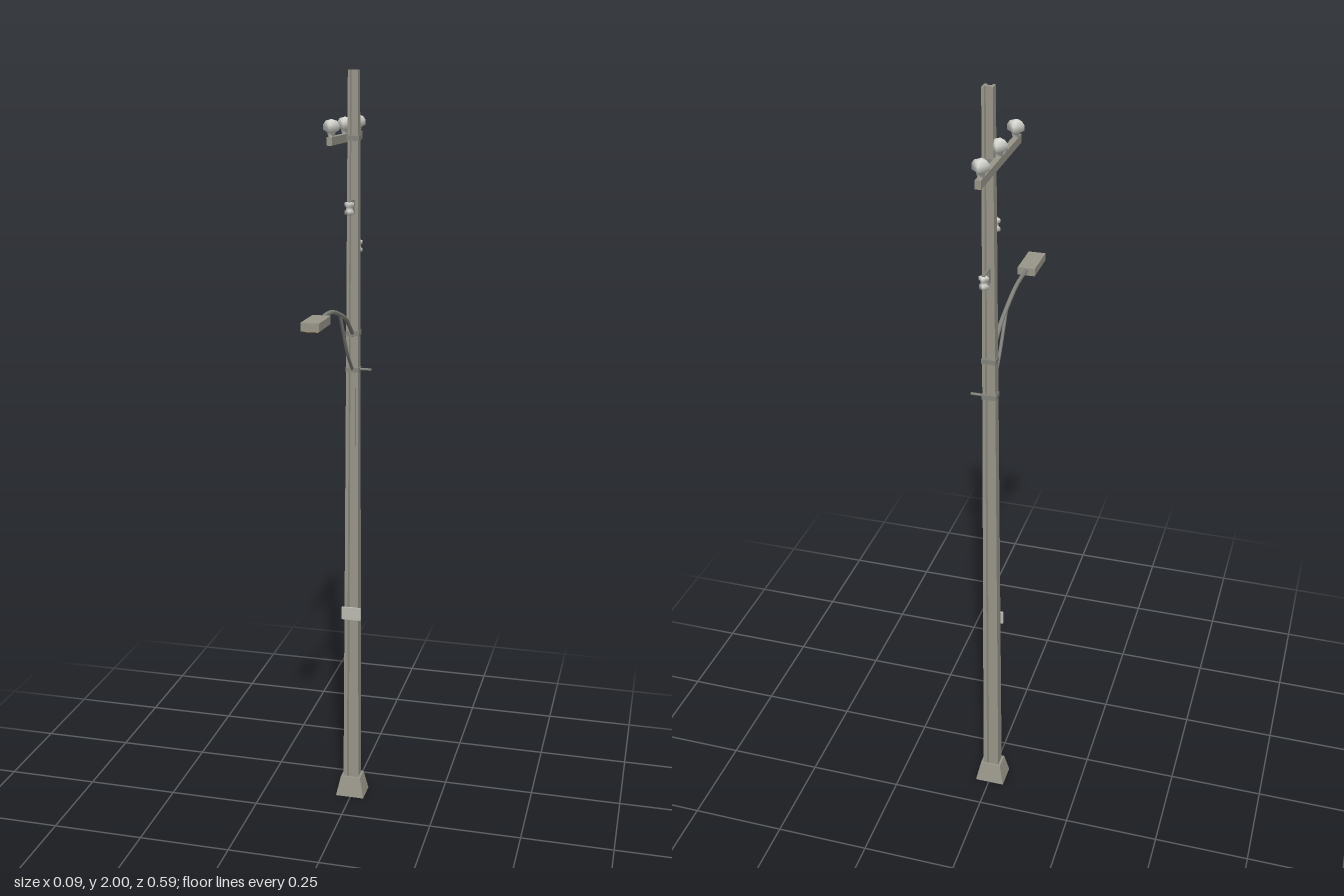
import * as THREE from 'three';

const PX = -0.002, PZ = -0.133; // pole axis

const mat = (name, color, side = THREE.FrontSide) => {
  const m = new THREE.MeshStandardMaterial({ color, side });
  m.name = name;
  return m;
};

export function createModel() {
  const root = new THREE.Group();
  root.name = 'utilityPole';
  const concrete = mat('concrete', 0x99968a);
  const steel = mat('steel', 0x85857f);
  const porcelain = mat('porcelain', 0xd6d6d0, THREE.DoubleSide);
  const plateGrey = mat('plateGrey', 0xbdbbb2);
  const lens = mat('amberLens', 0xb58a45);

  const add = (name, geo, material, x = 0, y = 0, z = 0, parent = root) => {
    const m = new THREE.Mesh(geo, material);
    m.name = name;
    m.position.set(x, y, z);
    parent.add(m);
    return m;
  };
  const box = (name, w, h, d, material, x, y, z, parent) =>
    add(name, new THREE.BoxGeometry(w, h, d), material, x, y, z, parent);
  const outline = (pts) => new THREE.Shape(pts.map(([x, y]) => new THREE.Vector2(x, y)));

  // Unit cross-section raised to height h, tapering from [w, d] to [w, d]
  const tapered = (shape, h, bottom, top) => {
    const g = new THREE.ExtrudeGeometry(shape, { depth: h, bevelEnabled: false });
    g.rotateX(-Math.PI / 2);
    const p = g.attributes.position;
    for (let i = 0; i < p.count; i++) {
      const t = p.getY(i) / h;
      p.setX(i, p.getX(i) * THREE.MathUtils.lerp(bottom[0], top[0], t));
      p.setZ(i, p.getZ(i) * THREE.MathUtils.lerp(bottom[1], top[1], t));
    }
    g.computeVertexNormals();
    return g;
  };

  // H-section pole with grooves in the front and back
  const hShape = outline([
    [-0.5, -0.5], [-0.27, -0.5], [-0.2, -0.18], [0.2, -0.18], [0.27, -0.5], [0.5, -0.5],
    [0.5, 0.5], [0.27, 0.5], [0.2, 0.18], [-0.2, 0.18], [-0.27, 0.5], [-0.5, 0.5],
  ]);
  add('pole', tapered(hShape, 1.999, [0.044, 0.035], [0.026, 0.023]), concrete, PX, 0.001, PZ);

  // Flared footing collar
  const square = (s) => [[-s, -s], [s, -s], [s, s], [-s, s]];
  const collar = outline(square(0.5));
  collar.holes.push(new THREE.Path(square(0.36).reverse().map(([x, y]) => new THREE.Vector2(x, y))));
  add('footing', tapered(collar, 0.057, [0.08, 0.067], [0.056, 0.045]), concrete, PX, 0, PZ);

  // Number plate on the front
  box('numberPlate', 0.053, 0.036, 0.006, plateGrey, PX, 0.558, PZ + 0.0175);

  // Crossarm with its clamp and three pin insulators
  const ARM_X = -0.025;
  box('crossarm', 0.014, 0.02, 0.318, concrete, ARM_X, 1.835, -0.134);
  box('crossarmClamp', 0.033, 0.012, 0.028, steel, PX, 1.835, PZ);
  const lathe = (pts) => new THREE.LatheGeometry(pts.map(([r, y]) => new THREE.Vector2(r, y)), 4);
  const pinShape = lathe([
    [0.008, 0], [0.011, 0.011], [0.0205, 0.016], [0.0205, 0.029], [0.014, 0.038], [0, 0.042],
  ]);
  for (const z of [-0.271, -0.134, 0.003]) add('pinInsulator', pinShape, porcelain, ARM_X, 1.845, z);

  // Spool insulators in brackets, one in front and one behind
  const spoolShape = lathe([
    [0, -0.016], [0.012, -0.015], [0.012, -0.006], [0.008, -0.003],
    [0.008, 0.003], [0.012, 0.006], [0.012, 0.015], [0, 0.016],
  ]);
  for (const [s, y] of [[1, 1.665], [-1, 1.56]]) {
    const g = new THREE.Group();
    g.name = s > 0 ? 'frontSpool' : 'rearSpool';
    g.position.set(PX, y, PZ);
    root.add(g);
    add('spoolInsulator', spoolShape, porcelain, 0, 0, s * 0.047, g);
    for (const k of [-1, 1]) box('bracketStrap', 0.006, 0.003, 0.046, steel, 0, k * 0.0165, s * 0.028, g);
    box('bracketBack', 0.006, 0.034, 0.008, steel, 0, 0, s * 0.009, g);
  }

  // Curved lamp arm and its brace
  const tube = (name, pts, r) => {
    const curve = new THREE.CatmullRomCurve3(pts.map(([y, z]) => new THREE.Vector3(PX, y, z)));
    add(name, new THREE.TubeGeometry(curve, 14, r, 6), steel);
  };
  tube('lampArm', [[1.335, -0.13], [1.39, -0.052], [1.412, 0.01], [1.431, 0.08], [1.436, 0.135], [1.434, 0.195]], 0.0058);
  tube('lampBrace', [[1.238, -0.13], [1.3, -0.066], [1.36, -0.024], [1.408, 0.006]], 0.0045);

  // Clamps round the pole where the arm and brace are fixed
  for (const y of [1.34, 1.243]) box('armClamp', 0.036, 0.012, 0.03, steel, PX, y, PZ);

  // Step bolt on the left side
  const bolt = new THREE.CylinderGeometry(0.0035, 0.0035, 0.034, 6).rotateZ(Math.PI / 2);
  add('stepBolt', bolt, steel, 0.029, 1.243, -0.137);

  // Lamp head with the lens beneath
  box('lampHead', 0.045, 0.02, 0.106, concrete, -0.0025, 1.432, 0.24);
  box('lampLens', 0.035, 0.004, 0.088, lens, -0.0025, 1.421, 0.241);

  return root;
}
